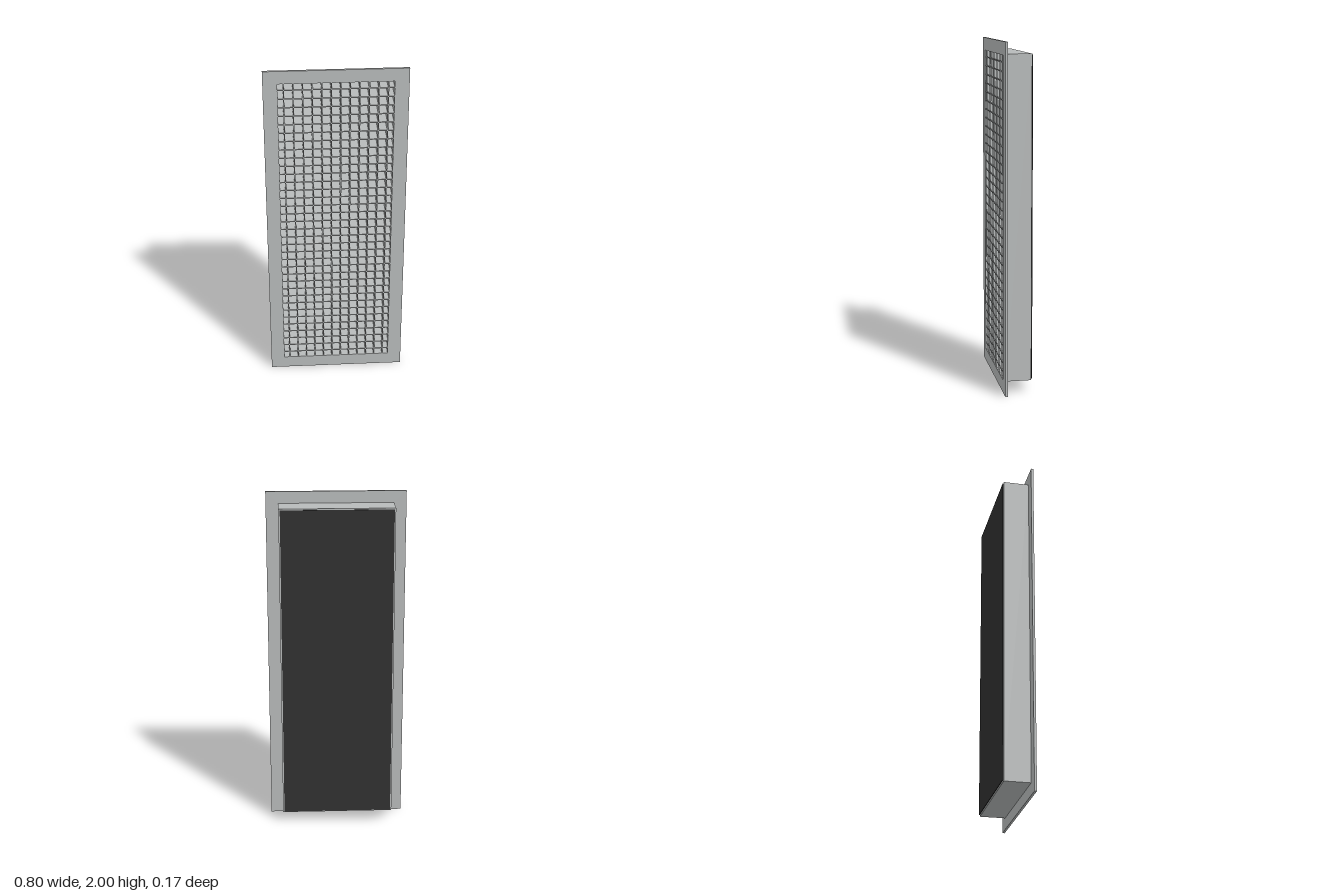
import * as THREE from 'three';

const grey = new THREE.MeshStandardMaterial({ color: 0xb8bbbb });
grey.name = 'paintedGrey';
const dark = new THREE.MeshStandardMaterial({ color: 0x313131 });
dark.name = 'darkFilter';

const MID = 1; // height of the centre
const OPEN_W = 0.64, OPEN_H = 1.85; // grille opening

// Rectangular ring around the opening, extruded from z0 to z1
function ring(name, w, h, z0, z1) {
  const rect = (P, a, b) => new P([
    new THREE.Vector2(-a / 2, -b / 2), new THREE.Vector2(a / 2, -b / 2),
    new THREE.Vector2(a / 2, b / 2), new THREE.Vector2(-a / 2, b / 2),
  ]);
  const shape = rect(THREE.Shape, w, h);
  shape.holes.push(rect(THREE.Path, OPEN_W, OPEN_H));
  const geo = new THREE.ExtrudeGeometry(shape, { depth: z1 - z0, bevelEnabled: false });
  const mesh = new THREE.Mesh(geo, grey);
  mesh.name = name;
  mesh.position.set(0, MID, z0);
  return mesh;
}

function box(name, w, h, z0, z1, x, y, material) {
  const mesh = new THREE.Mesh(new THREE.BoxGeometry(w, h, z1 - z0), material);
  mesh.name = name;
  mesh.position.set(x, y, (z0 + z1) / 2);
  return mesh;
}

export function createModel() {
  const model = new THREE.Group();
  model.name = 'ventGrille';

  // Front flange and the duct collar behind it
  model.add(ring('frontFlange', 0.8, 2, 0.071, 0.0845));
  model.add(ring('ductCollar', 0.656, 1.864, -0.078, 0.071));

  // Closed back of the duct and the dark filter sheet behind it
  model.add(box('backPanel', OPEN_W, OPEN_H, -0.078, -0.074, 0, MID, grey));
  model.add(box('filterSheet', 0.64, 1.85, -0.0845, -0.081, 0, MID, dark));

  // Egg-crate core of crossing blades
  const core = new THREE.Group();
  core.name = 'eggCrateCore';
  const pitch = 0.0521, thick = 0.006;
  for (let i = 0; i < 12; i++) {
    core.add(box('verticalBlade', thick, OPEN_H, -0.074, 0.082, (i - 5.5) * pitch, MID, grey));
  }
  for (let i = -17; i <= 17; i++) {
    core.add(box('horizontalBlade', OPEN_W, thick, -0.074, 0.0815, 0, MID + i * pitch, grey));
  }
  model.add(core);
  return model;
}
